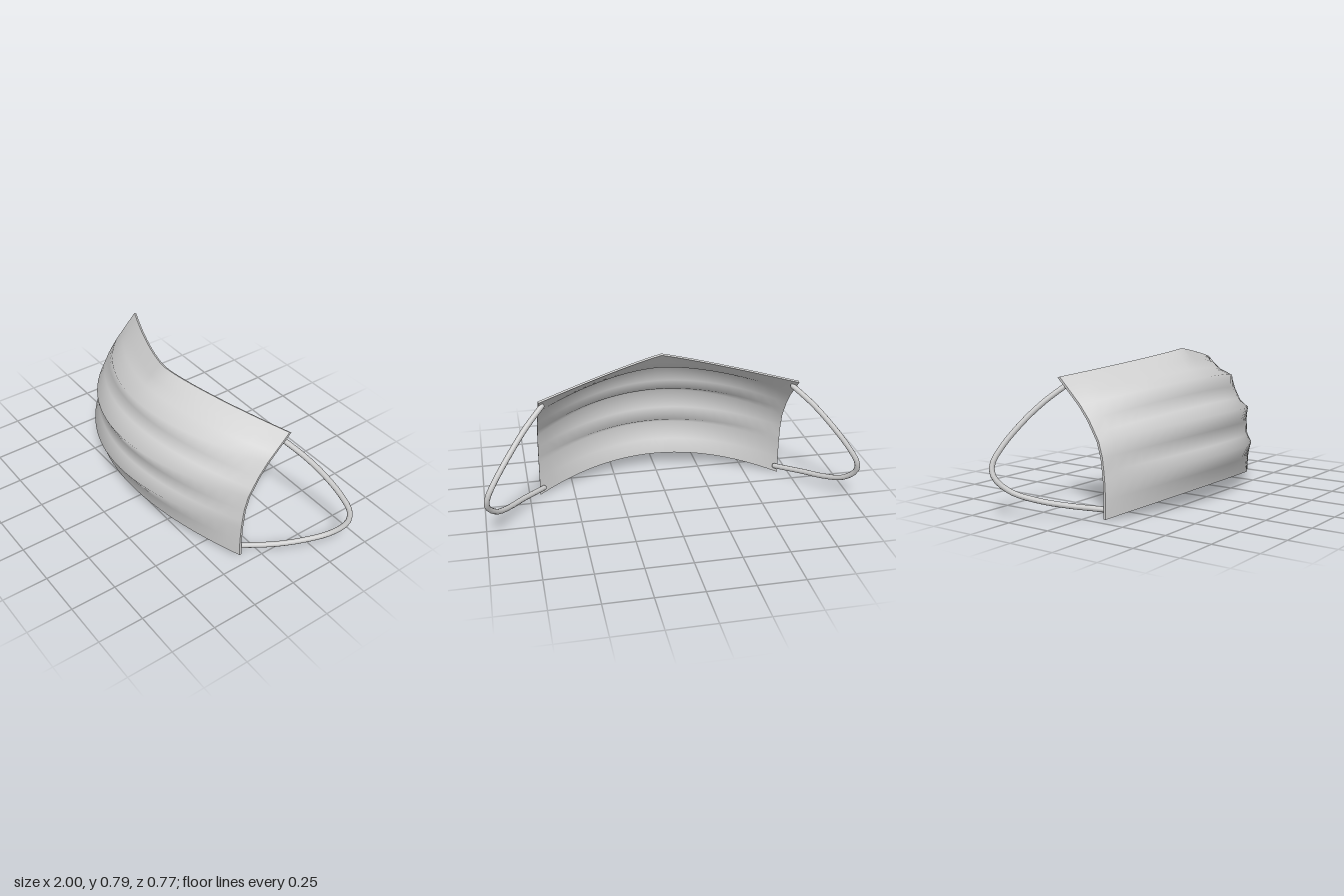
import * as THREE from 'three';

// Cross-sections as [y, z], from the top hem to the bottom hem.
const CENTRE = [
  [0.797, 0.085], [0.74, 0.14], [0.69, 0.175], [0.655, 0.263], [0.58, 0.25], [0.515, 0.28],
  [0.472, 0.37], [0.38, 0.325], [0.30, 0.325], [0.262, 0.385], [0.175, 0.327], [0.09, 0.31],
];
const SIDE = [
  [0.69, -0.18], [0.64, -0.13], [0.60, -0.09], [0.56, -0.05], [0.49, 0.005], [0.43, 0.04],
  [0.39, 0.063], [0.31, 0.086], [0.24, 0.094], [0.20, 0.098], [0.10, 0.103], [0.003, 0.1],
];
const HALF = 0.69, COLS = 24, ROWS = CENTRE.length;

// Point on the curved sheet; the top hem is pinched at the nose, lower rows are rounder.
function sheetPoint(i, j, back) {
  const x = (i / COLS * 2 - 1) * HALF;
  const t = Math.abs(x) / HALF;
  const k = Math.min(1, j / 3);
  const y = THREE.MathUtils.lerp(CENTRE[j][0], SIDE[j][0], t ** (1 + k));
  const z = THREE.MathUtils.lerp(CENTRE[j][1], SIDE[j][1], t ** (1.25 + 0.75 * k));
  // The back layer sits just behind the front layer
  return back ? [x, y - 0.006 * (1 - j / (ROWS - 1)), z - 0.012] : [x, y, z];
}

function makeGeometry(positions, index) {
  const geometry = new THREE.BufferGeometry();
  geometry.setAttribute('position', new THREE.Float32BufferAttribute(positions, 3));
  geometry.setIndex(index);
  geometry.computeVertexNormals();
  return geometry;
}

function layerGeometry(back) {
  const positions = [], index = [];
  for (let i = 0; i <= COLS; i++) {
    for (let j = 0; j < ROWS; j++) positions.push(...sheetPoint(i, j, back));
  }
  for (let i = 0; i < COLS; i++) {
    for (let j = 0; j < ROWS - 1; j++) {
      const a = i * ROWS + j, b = a + 1, c = a + ROWS, d = c + 1;
      if (back) index.push(a, c, b, b, c, d);
      else index.push(a, b, c, b, d, c);
    }
  }
  return makeGeometry(positions, index);
}

// Thin rim joining the two layers all the way round
function rimGeometry() {
  const path = [], positions = [], index = [], last = ROWS - 1;
  for (let j = 0; j < last; j++) path.push([0, j]);
  for (let i = 0; i < COLS; i++) path.push([i, last]);
  for (let j = last; j > 0; j--) path.push([COLS, j]);
  for (let i = COLS; i > 0; i--) path.push([i, 0]);
  path.forEach(([i, j], n) => {
    const [i2, j2] = path[(n + 1) % path.length];
    positions.push(...sheetPoint(i, j, false), ...sheetPoint(i2, j2, false),
      ...sheetPoint(i, j, true), ...sheetPoint(i2, j2, true));
    const a = n * 4;
    index.push(a, a + 2, a + 1, a + 1, a + 2, a + 3);
  });
  return makeGeometry(positions, index);
}

// Elastic loop for one side, with closed ends tucked behind the sheet
function earLoop(side, material) {
  const group = new THREE.Group();
  group.name = side > 0 ? 'leftEarLoop' : 'rightEarLoop';
  const points = [
    [0.67, 0.65, -0.152], [0.76, 0.57, -0.222], [0.84, 0.48, -0.285], [0.93, 0.36, -0.347],
    [0.98, 0.27, -0.372], [0.985, 0.21, -0.355], [0.94, 0.14, -0.29], [0.87, 0.098, -0.18],
    [0.79, 0.073, -0.06], [0.67, 0.048, 0.083],
  ].map(([x, y, z]) => new THREE.Vector3(x * side, y, z));
  const curve = new THREE.CatmullRomCurve3(points);
  const cord = new THREE.Mesh(new THREE.TubeGeometry(curve, 36, 0.0145, 10), material);
  cord.name = 'elasticCord';
  group.add(cord);
  for (const p of [points[0], points[points.length - 1]]) {
    const end = new THREE.Mesh(new THREE.SphereGeometry(0.0145, 10, 8), material);
    end.name = 'cordEnd';
    end.position.copy(p);
    group.add(end);
  }
  return group;
}

export function createModel() {
  const model = new THREE.Group();
  model.name = 'pleatedFaceMask';
  const fabric = new THREE.MeshStandardMaterial({ color: 0xcccccc });
  fabric.name = 'light grey fabric';

  const parts = {
    frontLayer: layerGeometry(false),
    backLayer: layerGeometry(true),
    edgeRim: rimGeometry(),
  };
  for (const [name, geometry] of Object.entries(parts)) {
    const mesh = new THREE.Mesh(geometry, fabric);
    mesh.name = name;
    model.add(mesh);
  }

  for (const side of [1, -1]) model.add(earLoop(side, fabric));
  return model;
}
